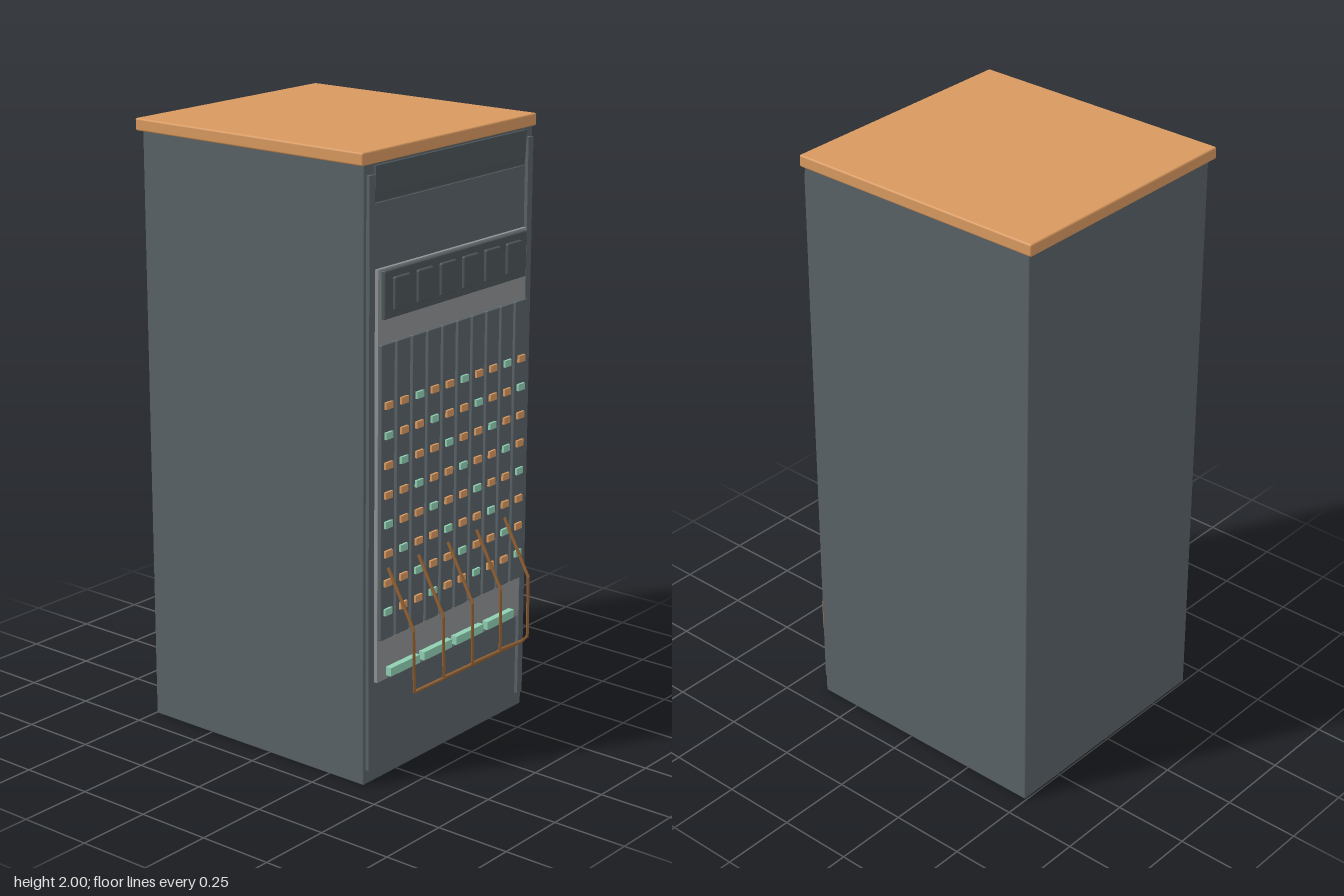
import * as THREE from 'three';
import { RoundedBoxGeometry } from 'three/addons/geometries/RoundedBoxGeometry.js';

const mat = (name, color) => {
  const m = new THREE.MeshStandardMaterial({ color });
  m.name = name;
  return m;
};

export function createModel() {
  const group = new THREE.Group();
  const steel = mat('dark steel', 0x586165);
  const charcoal = mat('charcoal', 0x4c5458);
  const silver = mat('plate grey', 0x8d9194);
  const copper = mat('copper orange', 0xd8995f);
  const mint = mat('mint green', 0x8fd0b2);
  const cableBrown = mat('cable brown', 0x9c6736);

  const add = (name, geometry, material, x = 0, y = 0, z = 0, parent = group) => {
    const mesh = new THREE.Mesh(geometry, material);
    mesh.name = name;
    mesh.position.set(x, y, z);
    parent.add(mesh);
    return mesh;
  };
  // Box given by its extents: x centre and width, y range, z range
  const block = (name, material, x, w, y0, y1, z0, z1, r = 0, parent = group) => {
    const size = [w, y1 - y0, z1 - z0];
    const g = r ? new RoundedBoxGeometry(...size, 2, r) : new THREE.BoxGeometry(...size);
    return add(name, g, material, x, (y0 + y1) / 2, (z0 + z1) / 2, parent);
  };
  const subgroup = (name) => {
    const g = new THREE.Group();
    g.name = name;
    group.add(g);
    return g;
  };

  // Cabinet and overhanging lid
  block('cabinet', steel, 0, 0.836, 0, 1.965, -0.496, 0.39, 0.004);
  block('lid', copper, 0, 0.866, 1.96, 2, -0.514, 0.396, 0.006);

  // Front edge rails
  for (const s of [-1, 1]) block('frontRail', steel, s * 0.395, 0.026, 0.05, 1.93, 0.38, 0.402);

  // Header panel, leaning back towards its lower edge
  const profile = new THREE.Shape([
    new THREE.Vector2(0.38, 1.845), new THREE.Vector2(0.391, 1.845),
    new THREE.Vector2(0.396, 1.87), new THREE.Vector2(0.4, 1.955), new THREE.Vector2(0.38, 1.955),
  ]);
  const header = new THREE.ExtrudeGeometry(profile, { depth: 0.75, bevelEnabled: false });
  header.rotateY(-Math.PI / 2);
  add('headerPanel', header, charcoal, 0.375);

  // Blank panel and silver backplate
  block('blankPanel', steel, 0, 0.75, 1.645, 1.842, 0.38, 0.395);
  block('backplate', silver, 0, 0.745, 0.335, 1.645, 0.38, 0.407);

  // Fan tray with six raised covers
  const tray = subgroup('fanTray');
  block('trayFace', charcoal, 0, 0.714, 1.492, 1.64, 0.4, 0.421, 0.004, tray);
  for (let i = 0; i < 6; i++) {
    block('fanCover', charcoal, (i - 2.5) * 0.113, 0.076, 1.515, 1.617, 0.415, 0.431, 0.005, tray);
  }

  // Ten card modules, each with a column of indicator lights
  const cards = subgroup('cardModules');
  const cardX = (i) => (i - 4.5) * 0.0752;
  for (let c = 0; c < 10; c++) {
    block('card', steel, cardX(c), 0.063, 0.475, 1.416, 0.4, 0.42, 0.003, cards);
    for (let r = 0; r < 8; r++) {
      const y = 1.227 - r * 0.0943;
      const colour = (c - r + 9) % 3 === 2 ? mint : copper;
      block('indicator', colour, cardX(c) - 0.002, 0.034, y - 0.011, y + 0.011, 0.419, 0.428, 0, cards);
    }
  }

  // Label strips under the cards
  for (let i = 0; i < 4; i++) {
    block('labelStrip', mint, -0.256 + i * 0.167, 0.145, 0.348, 0.376, 0.406, 0.428);
  }

  // Cables: five bent runs gathered at the lower left corner
  const cables = subgroup('cables');
  const up = new THREE.Vector3(0, 1, 0);
  const gather = new THREE.Vector3(0.395, 0.237, 0.41);
  for (let i = 0; i < 5; i++) {
    const x = cardX(i * 2);
    const points = [
      new THREE.Vector3(x, 0.708, 0.422),
      new THREE.Vector3(x + 0.018, 0.52, 0.508),
      new THREE.Vector3(x + 0.074, 0.287, 0.47),
      gather,
    ];
    for (let k = 0; k < 3; k++) {
      const dir = points[k + 1].clone().sub(points[k]);
      const seg = add('cableRun', new THREE.CylinderGeometry(0.0055, 0.0055, dir.length(), 6), cableBrown, 0, 0, 0, cables);
      seg.position.copy(points[k]).addScaledVector(dir, 0.5);
      seg.quaternion.setFromUnitVectors(up, dir.normalize());
      if (k) add('cableBend', new THREE.SphereGeometry(0.0055, 6, 4), cableBrown, ...points[k].toArray(), cables);
    }
  }
  return group;
}
